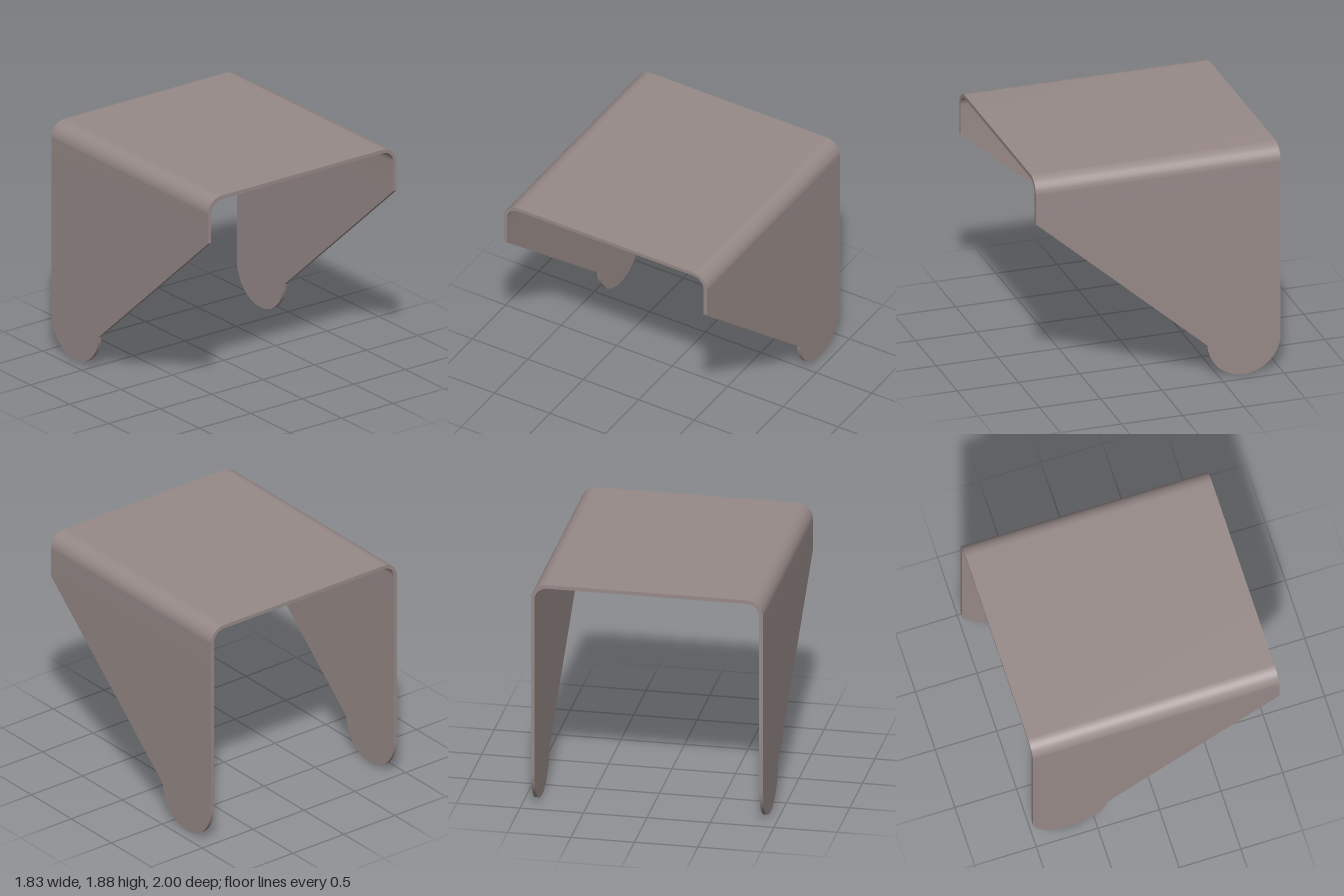
import * as THREE from 'three';
import { toCreasedNormals } from 'three/addons/utils/BufferGeometryUtils.js';

const HALF = 0.915;    // half width
const THICK = 0.03;    // sheet thickness
const TOP = 1.885;     // overall height
const BEND = 0.13;     // outer bend radius
const LIP = 1.515;     // height of the short front edge
const FOOT = 0.3;      // radius of the rounded foot

const extrude = (shape, depth, curveSegments) =>
  toCreasedNormals(
    new THREE.ExtrudeGeometry(shape, { depth, curveSegments, bevelEnabled: false }), 0.6);

// Bent sheet: an upside-down U section running front to back
function coverGeometry() {
  const inner = HALF - THICK, cx = HALF - BEND, cy = TOP - BEND, r = BEND - THICK;
  const s = new THREE.Shape();
  s.moveTo(HALF, LIP);
  s.lineTo(HALF, cy);
  s.absarc(cx, cy, BEND, 0, Math.PI / 2, false);
  s.lineTo(-cx, TOP);
  s.absarc(-cx, cy, BEND, Math.PI / 2, Math.PI, false);
  s.lineTo(-HALF, LIP);
  s.lineTo(-inner, LIP);
  s.lineTo(-inner, cy);
  s.absarc(-cx, cy, r, Math.PI, Math.PI / 2, true);
  s.lineTo(cx, TOP - THICK);
  s.absarc(cx, cy, r, Math.PI / 2, 0, true);
  s.lineTo(inner, LIP);
  return extrude(s, 2, 12).translate(0, 0, -1);
}

// Tapered side plate with a round foot, drawn in z/y and turned upright
function sideGeometry() {
  const s = new THREE.Shape();
  s.moveTo(-1, LIP);
  s.lineTo(-1, FOOT);
  s.absarc(-1 + FOOT, FOOT, FOOT, Math.PI, Math.PI * 2 - 0.05, false);
  s.lineTo(1, LIP);
  return extrude(s, THICK, 10).rotateY(-Math.PI / 2).translate(THICK / 2, 0, 0);
}

export function createModel() {
  const group = new THREE.Group();
  group.name = 'bentSheetCover';
  const material = new THREE.MeshStandardMaterial({ color: 0x978a88 });
  const add = (name, geometry, x = 0) => {
    const mesh = new THREE.Mesh(geometry, material);
    mesh.name = name;
    mesh.position.x = x;
    group.add(mesh);
  };

  add('topCover', coverGeometry());
  const side = sideGeometry();
  add('leftSidePlate', side, HALF - THICK / 2);
  add('rightSidePlate', side, -HALF + THICK / 2);
  return group;
}
